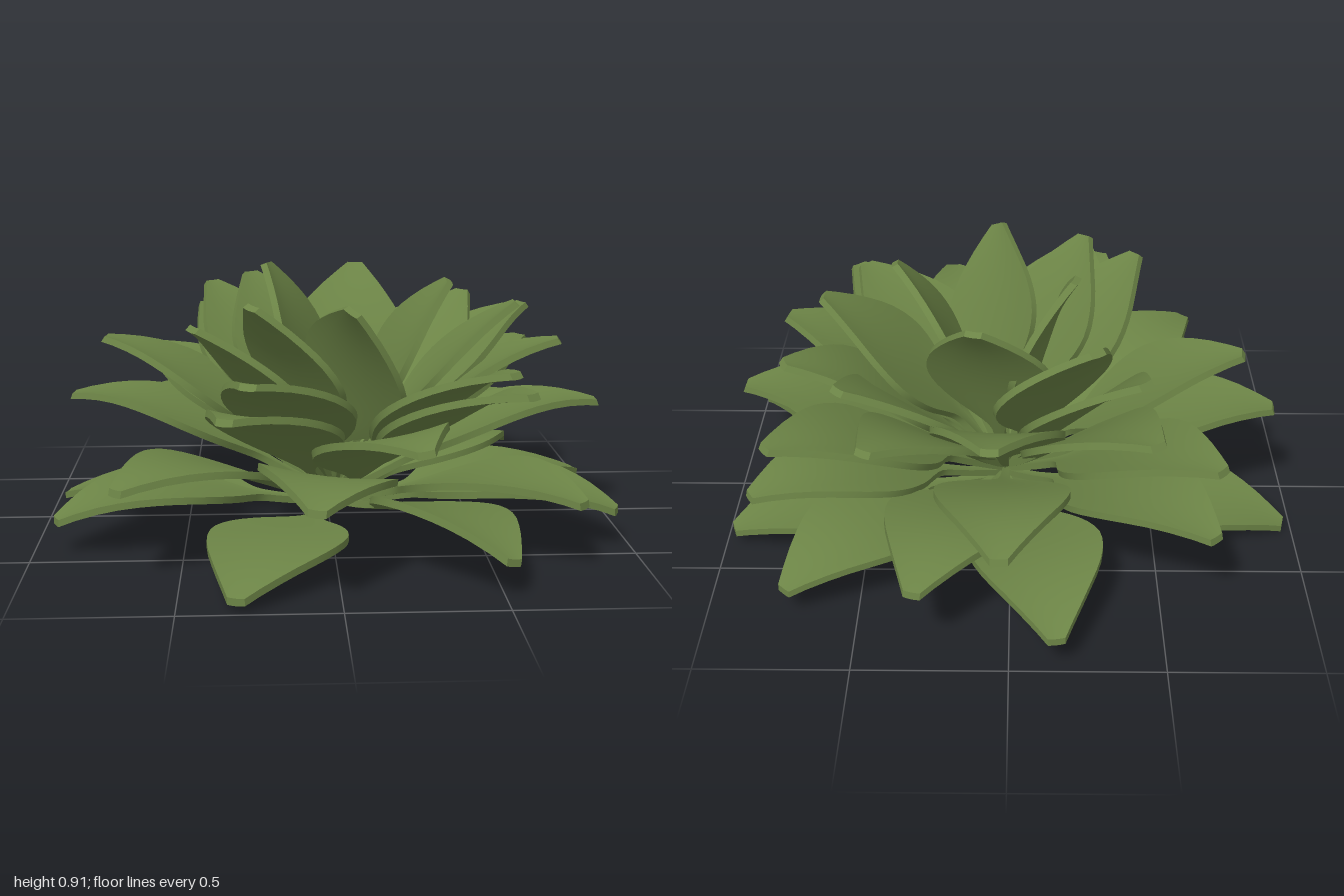
import * as THREE from 'three';

// Leaves tier by tier from the ground up: tip [x, y, z, optional twist about the leaf's length]
const TIERS = [
  { name: 'groundLeaf', bow: 0.055, leaves: [
    [0.97, 0.06, -0.35], [-0.32, 0.04, 0.98], [-0.97, 0.02, -0.25],
  ] },
  { name: 'archedLeaf', bow: 0.085, leaves: [
    [-0.15, 0.13, -1.0], [0.95, 0.13, 0.42], [-0.92, 0.12, 0.42], [0.74, 0.1, -0.73], [0.52, 0.12, 0.9, -0.2],
  ] },
  { name: 'lowerLeaf', bow: 0.085, leaves: [
    [-0.08, 0.31, 0.99, -0.1], [0.87, 0.31, -0.5], [0.78, 0.23, 0.68], [-0.69, 0.31, 0.75],
    [0.3, 0.27, -0.95], [-0.66, 0.33, -0.74], [0.96, 0.42, 0.03], [0.03, 0.4, -0.95],
    [-0.92, 0.43, -0.12], [0.25, 0.46, 0.9, 0.1],
  ] },
  { name: 'middleLeaf', bow: 0.065, leaves: [
    [0.79, 0.55, -0.57], [-0.35, 0.55, 0.84], [-0.68, 0.52, -0.64], [0.61, 0.58, 0.67],
    [0.8, 0.66, 0.12], [-0.8, 0.64, -0.11], [0.45, 0.66, -0.75], [-0.28, 0.64, 0.76],
    [-0.46, 0.67, -0.72], [0.75, 0.72, -0.32], [0.57, 0.63, 0.58], [0.06, 0.68, -0.77],
  ] },
  { name: 'innerLeaf', bow: 0.035, leaves: [
    [0.66, 0.78, 0.04], [-0.46, 0.76, 0.42, -0.15], [0.55, 0.74, -0.52], [-0.43, 0.78, -0.54],
    [-0.27, 0.83, 0.43, -0.3], [0.05, 0.83, 0.53, -0.85], [-0.28, 0.83, -0.43],
    [0.41, 0.87, 0.12, 0.4], [0.12, 0.87, -0.38], [-0.22, 0.91, -0.08],
  ] },
];

// Half width along the leaf: thin stalk, broad blade, narrow blunt tip
const outline = new THREE.SplineCurve([
  [0, 0.012], [0.2, 0.018], [0.29, 0.03], [0.36, 0.085], [0.43, 0.15], [0.52, 0.205], [0.62, 0.225],
  [0.74, 0.195], [0.87, 0.12], [1, 0.028],
].map(([t, w]) => new THREE.Vector2(t, w)));

function leafGeometry([x, y, z, twist = 0], bow) {
  const base = new THREE.Vector3(0.02, 0.05 + y * 0.08, 0);
  const along = new THREE.Vector3(x, y, z).sub(base);
  const dir = along.clone().normalize();
  const side = new THREE.Vector3(0, 1, 0).cross(dir).normalize().applyAxisAngle(dir, twist);
  const normal = dir.clone().cross(side);

  const geometry = new THREE.BoxGeometry(2, 0.024, 1, 6, 1, 22);
  const pos = geometry.attributes.position;
  const p = new THREE.Vector3();
  for (let i = 0; i < pos.count; i++) {
    const u = pos.getX(i);
    const { x: t, y: w } = outline.getPoint(pos.getZ(i) + 0.5);
    // Arch that peaks two thirds out and droops to the tip, slight cupping across the width
    const lift = pos.getY(i) + bow * 6.75 * t * t * (1 - t) + 0.08 * w * u * u;
    p.copy(base).addScaledVector(along, t).addScaledVector(side, u * w).addScaledVector(normal, lift);
    pos.setXYZ(i, p.x, p.y, p.z);
  }
  geometry.computeVertexNormals();
  return geometry;
}

export function createModel() {
  const model = new THREE.Group();
  model.name = 'rosettePlant';
  const green = new THREE.MeshStandardMaterial({ color: 0x6c8446 });

  for (const { name, bow, leaves } of TIERS) {
    const tier = new THREE.Group();
    tier.name = name + 'Tier';
    for (const spec of leaves) {
      const leaf = new THREE.Mesh(leafGeometry(spec, bow), green);
      leaf.name = name;
      tier.add(leaf);
    }
    model.add(tier);
  }
  return model;
}
